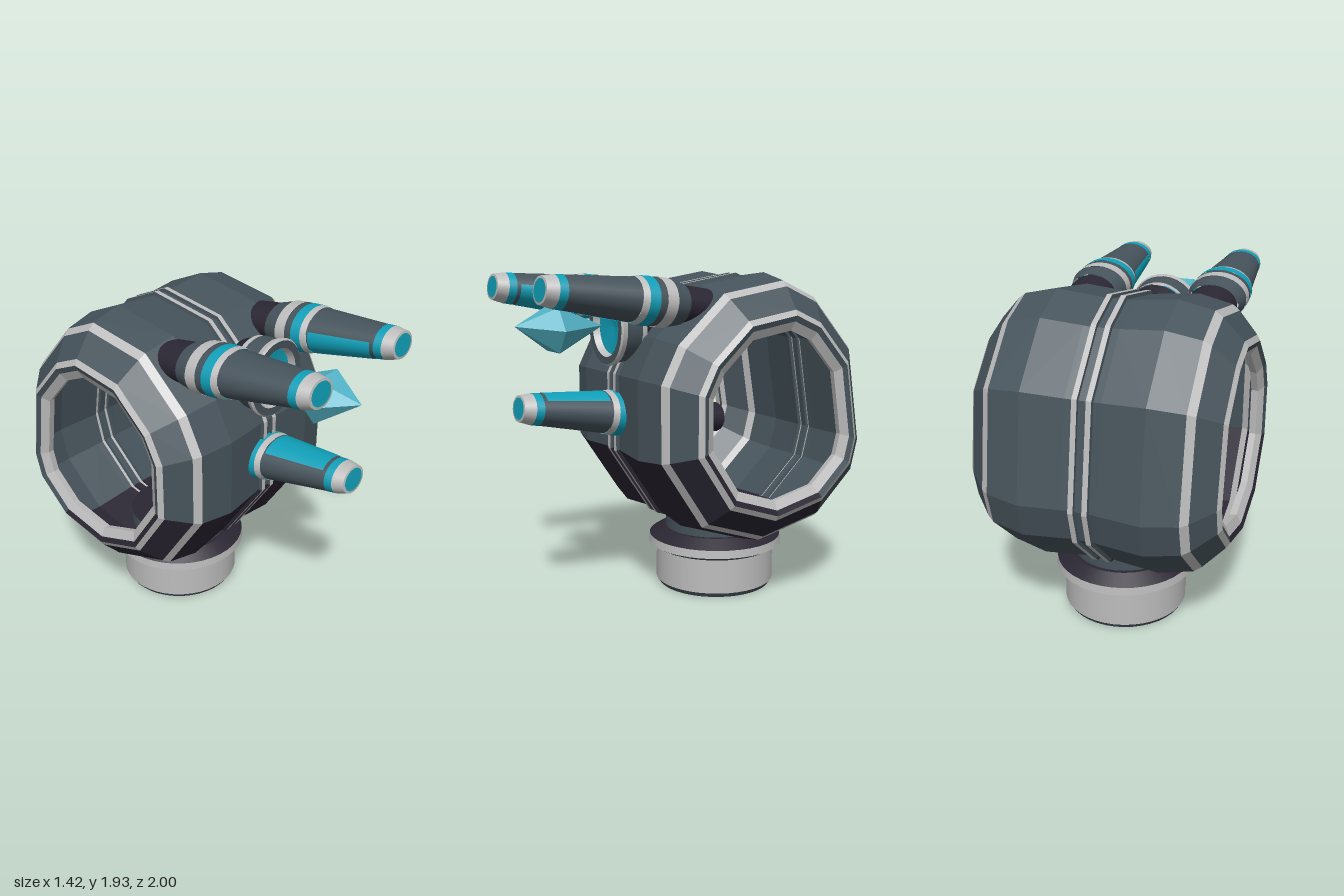
import * as THREE from 'three';

const mat = (name, color, extra = {}) => new THREE.MeshStandardMaterial({ name, color, ...extra });

export function createModel() {
  const two = { side: THREE.DoubleSide };
  const body = mat('slate', 0x46535b, two);
  const light = mat('pale metal', 0xbcbcbc, two);
  const dark = mat('dark violet', 0x2a2633, two);
  const teal = mat('teal', 0x109fb8, two);
  const gem = mat('crystal teal', 0x52b2c5);

  const model = new THREE.Group();
  model.name = 'ringDevice';

  const flat = (name, positions, material, parent) => {
    const g = new THREE.BufferGeometry();
    g.setAttribute('position', new THREE.Float32BufferAttribute(positions, 3));
    g.computeVertexNormals();
    const m = new THREE.Mesh(g, material);
    m.name = name;
    parent.add(m);
  };

  // Shell outline (z, y) seen along its x axis, scaled about its centre
  const cz = -0.28, cy = 1.143;
  const outline = [
    [-0.39, 1.93], [-0.62, 1.83], [-0.9, 1.52], [-1.0, 0.92], [-0.95, 0.72], [-0.68, 0.46],
    [-0.25, 0.36], [0.16, 0.5], [0.43, 0.91], [0.43, 1.36], [0.32, 1.58], [0.02, 1.86],
  ];
  // Half profile: x, scale, colour of the strip that ends here
  const profile = [
    [0, 0.968],
    [0.022, 0.968, body],
    [0.024, 0.992, body],
    [0.054, 0.992, light],
    [0.058, 0.965, body],
    [0.1, 0.972, body],
    [0.34, 1.0, body],
    [0.535, 0.945, body],
    [0.577, 0.905, light],
    [0.69, 0.75, body],
    [0.71, 0.71, light],
    [0.698, 0.67, body],
    [0.67, 0.605, light],
    [0.63, 0.615, light],
  ];
  const at = (i, x, s) => {
    const [z, y] = outline[i % outline.length];
    return [x, cy + (y - cy) * s, cz + (z - cz) * s];
  };
  const shell = new THREE.Group();
  shell.name = 'shell';
  model.add(shell);
  const faces = new Map([[body, []], [light, []], [dark, []]]);
  for (const side of [1, -1]) {
    for (let k = 1; k < profile.length; k++) {
      const [x0, s0] = profile[k - 1];
      const [x1, s1, colour] = profile[k];
      for (let i = 0; i < outline.length; i++) {
        const under = i >= 5 && i <= 7;
        const a = at(i, side * x0, s0), b = at(i + 1, side * x0, s0);
        const c = at(i + 1, side * x1, s1), d = at(i, side * x1, s1);
        const quad = side > 0 ? [a, d, c, a, c, b] : [a, c, d, a, b, c];
        // The outline runs clockwise seen from +x, so flip to face outward
        for (let t = 0; t < 6; t += 3) {
          faces.get(colour === body && under ? dark : colour)
            .push(...quad[t], ...quad[t + 2], ...quad[t + 1]);
        }
      }
    }
  }
  flat('shellPanels', faces.get(body), body, shell);
  flat('shellTrim', faces.get(light), light, shell);
  flat('shellUnderside', faces.get(dark), dark, shell);

  // Turned bands: [r0, h0, r1, h1, material]; each band keeps its own crisp edge
  const turned = (name, bands, alongZ, segments = 32, start = 0, sweep = Math.PI * 2) => {
    const group = new THREE.Group();
    group.name = name;
    bands.forEach(([r0, h0, r1, h1, material], i) => {
      const g = new THREE.LatheGeometry(
        [new THREE.Vector2(r0, h0), new THREE.Vector2(r1, h1)], segments, start, sweep);
      if (alongZ) g.rotateX(Math.PI / 2);
      const m = new THREE.Mesh(g, material);
      m.name = `${name}Band${i + 1}`;
      group.add(m);
    });
    return group;
  };

  // Prongs: flattened, tapering, tilted up, with a teal panel facing the crystal
  const prong = (name, x, y, panelAngle, tilt) => {
    const g = turned(name, [
      [0, -0.28, 0.118, -0.28, dark],
      [0.118, -0.28, 0.142, 0.2, dark],
      [0.15, 0.2, 0.174, 0.29, body],
      [0.177, 0.29, 0.177, 0.355, light],
      [0.174, 0.355, 0.174, 0.395, body],
      [0.176, 0.395, 0.172, 0.455, teal],
      [0.172, 0.455, 0.162, 0.49, light],
      [0.158, 0.49, 0.117, 0.885, body],
      [0.119, 0.885, 0.115, 0.93, teal],
      [0.115, 0.93, 0.097, 0.993, light],
      [0.097, 0.993, 0.08, 0.995, light],
      [0.08, 0.995, 0, 0.995, teal],
    ], true);
    const panel = turned(name + 'Panel', [[0.162, 0.5, 0.123, 0.865, teal]], true, 12, panelAngle - 0.85, 1.7);
    g.add(panel);
    g.scale.y = 0.76;
    g.rotation.x = -tilt;
    g.position.set(x, y, 0);
    model.add(g);
  };
  prong('upperLeftProng', 0.37, 1.74, -1.04, 0.11);
  prong('upperRightProng', -0.37, 1.74, 1.04, 0.11);
  prong('lowerProng', 0, 1.08, Math.PI, 0.12);

  // Socket behind the crystal
  const socket = turned('crystalSocket', [
    [0, 0.21, 0.16, 0.22, dark],
    [0.16, 0.22, 0.19, 0.29, dark],
    [0.196, 0.29, 0.198, 0.32, light],
    [0.2, 0.32, 0.208, 0.42, body],
    [0.214, 0.42, 0.222, 0.45, light],
    [0.222, 0.45, 0.212, 0.46, light],
    [0.212, 0.46, 0.17, 0.458, body],
    [0.17, 0.458, 0.155, 0.42, light],
    [0.155, 0.42, 0, 0.4, teal],
  ], true);
  socket.position.y = 1.625;
  model.add(socket);

  // Floating six-sided crystal
  const tip = [0, 1.645, 0.995], tail = [0, 1.635, 0.475];
  const ring = i => {
    const a = i * Math.PI / 3;
    return [0.187 * Math.cos(a), 1.622 + 0.143 * Math.sin(a), 0.775];
  };
  const crystal = [];
  for (let i = 0; i < 6; i++) {
    crystal.push(...tip, ...ring(i), ...ring(i + 1), ...tail, ...ring(i + 1), ...ring(i));
  }
  flat('crystal', crystal, gem, model);

  // Round foot and neck
  const foot = turned('foot', [
    [0, 0, 0.35, 0, dark],
    [0.35, 0, 0.368, 0.028, body],
    [0.368, 0.028, 0.366, 0.236, light],
    [0.366, 0.236, 0.415, 0.262, body],
    [0.415, 0.262, 0.41, 0.31, light],
    [0.41, 0.31, 0.33, 0.36, dark],
    [0.33, 0.36, 0.308, 0.36, dark],
    [0.308, 0.36, 0.308, 0.48, body],
    [0.308, 0.48, 0, 0.48, dark],
  ], false, 40);
  foot.position.z = -0.285;
  model.add(foot);

  return model;
}
